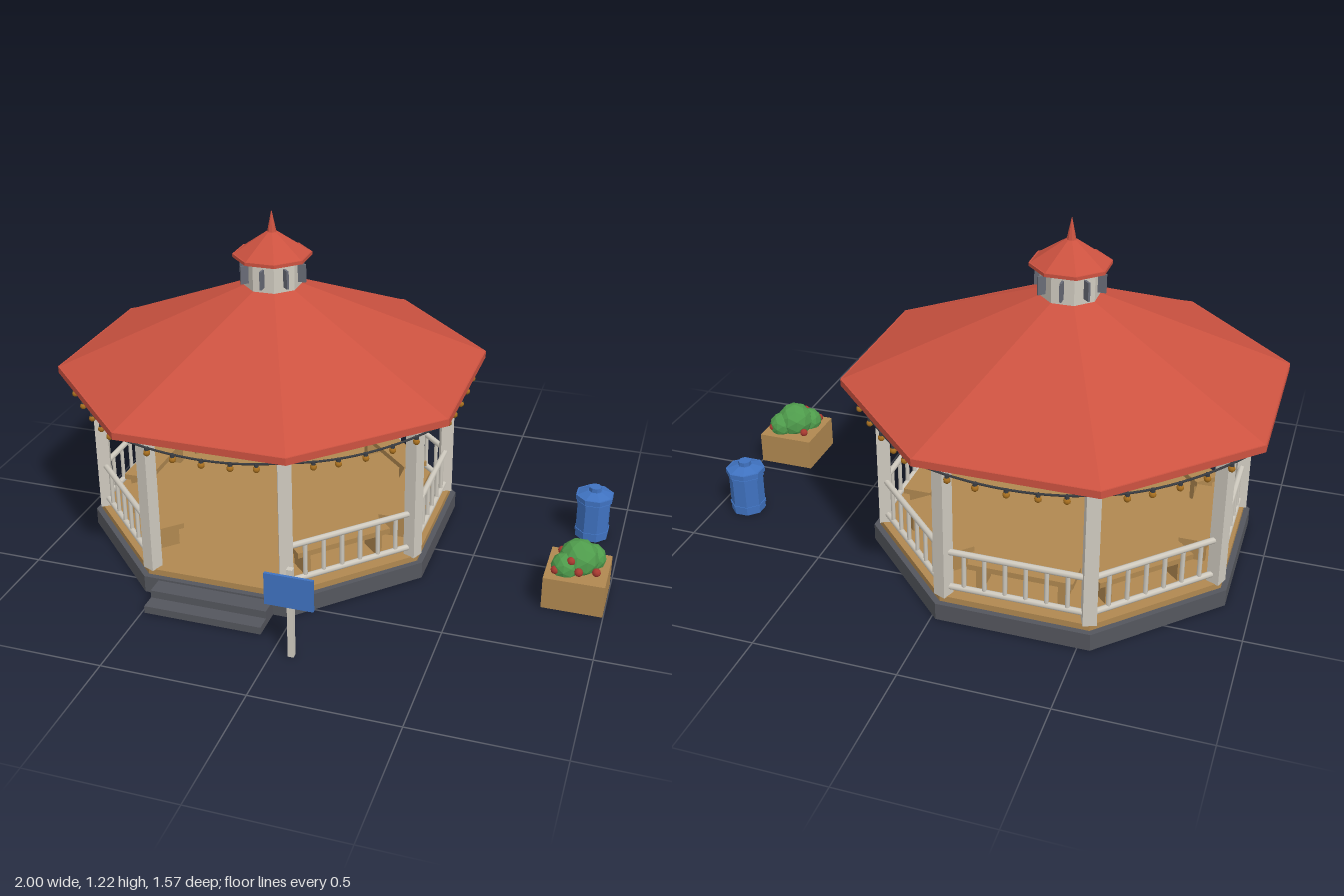
import * as THREE from 'three';

const mat = (name, color) => {
  const m = new THREE.MeshStandardMaterial({ color });
  m.name = name;
  return m;
};

export function createModel() {
  const red = mat('roof red', 0xcc5240);
  const wood = mat('wood', 0xb08850);
  const white = mat('painted white', 0xcfcabf);
  const stone = mat('dark stone', 0x54565d);
  const slate = mat('slate', 0x686b76);
  const blue = mat('blue', 0x3f72c0);
  const green = mat('leaf green', 0x4f9c4c);
  const petal = mat('petal red', 0xa83a30);
  const amber = mat('amber', 0xa9701f);
  const wire = mat('wire', 0x3a3d42);

  const model = new THREE.Group();
  model.name = 'bandstand scene';

  const add = (parent, name, geo, material, x = 0, y = 0, z = 0, ry = 0) => {
    const mesh = new THREE.Mesh(geo, material);
    mesh.name = name;
    mesh.position.set(x, y, z);
    mesh.rotation.y = ry;
    parent.add(mesh);
    return mesh;
  };
  const group = (parent, name, x = 0, z = 0, ry = 0) => {
    const g = new THREE.Group();
    g.name = name;
    g.position.set(x, 0, z);
    g.rotation.y = ry;
    parent.add(g);
    return g;
  };
  const faceted = (geo) => {
    const g = geo.index ? geo.toNonIndexed() : geo;
    g.computeVertexNormals();
    return g;
  };
  const box = (w, h, d) => new THREE.BoxGeometry(w, h, d);
  // Octagonal prism or frustum with flats facing x and z; sizes are apothems
  const C = Math.cos(Math.PI / 8);
  const octagon = (parent, name, bottom, top, y0, y1, material) => {
    const geo = new THREE.CylinderGeometry(top / C, bottom / C, y1 - y0, 8).rotateY(Math.PI / 8);
    return add(parent, name, faceted(geo), material, 0, (y0 + y1) / 2, 0);
  };

  const pavilion = group(model, 'pavilion', -0.28, -0.065);

  // Plinth, floor and steps
  octagon(pavilion, 'plinth', 0.635, 0.635, 0, 0.062, stone);
  octagon(pavilion, 'floor', 0.615, 0.615, 0.062, 0.084, wood);
  add(pavilion, 'lowerStep', box(0.42, 0.027, 0.155), stone, 0, 0.0135, 0.6775);
  add(pavilion, 'upperStep', box(0.42, 0.055, 0.1), stone, 0, 0.0275, 0.65);

  // Roof, cupola and finial
  octagon(pavilion, 'eaves', 0.72, 0.72, 0.63, 0.655, red);
  octagon(pavilion, 'roof', 0.715, 0.095, 0.655, 0.945, red);
  octagon(pavilion, 'cupola', 0.095, 0.095, 0.935, 1.055, white);
  octagon(pavilion, 'cupolaEaves', 0.13, 0.13, 1.05, 1.062, red);
  octagon(pavilion, 'cupolaRoof', 0.125, 0.018, 1.062, 1.14, red);
  octagon(pavilion, 'finial', 0.016, 0.001, 1.135, 1.215, red);

  // Shared pieces of one side
  const side = 0.595;
  const half = side * Math.tan(Math.PI / 8);
  const railGeo = new THREE.CylinderGeometry(0.011, 0.011, 2 * half, 8).rotateZ(Math.PI / 2);
  const balusterGeo = new THREE.CylinderGeometry(0.008, 0.008, 0.14, 6);
  const lightR = 0.695;
  const lightHalf = lightR * Math.tan(Math.PI / 8);
  const sag = (t) => 0.59 + 0.035 * (t / lightHalf) ** 2;
  const swag = new THREE.CatmullRomCurve3(
    [-1, -0.67, -0.33, 0, 0.33, 0.67, 1].map((f) => new THREE.Vector3(f * lightHalf, sag(f * lightHalf), lightR)));
  const swagGeo = new THREE.TubeGeometry(swag, 14, 0.004, 5);
  const bulbGeo = new THREE.SphereGeometry(0.012, 8, 6);
  const capGeo = new THREE.CylinderGeometry(0.007, 0.008, 0.014, 6);

  for (let i = 0; i < 8; i++) {
    const s = group(pavilion, 'side', 0, 0, (i * Math.PI) / 4);

    // Corner post and beam
    add(s, 'post', box(0.046, 0.55, 0.046), white, half, 0.357, side, Math.PI / 8);
    add(s, 'beam', box(2 * half, 0.048, 0.035), white, 0, 0.609, side);

    // Cupola vane
    add(s, 'cupolaVane', box(0.008, 0.066, 0.05), slate, 0, 0.997, 0.099);

    // String lights
    add(s, 'lightWire', swagGeo, wire);
    for (const t of [-0.19, -0.1, 0, 0.1, 0.19]) {
      add(s, 'bulbCap', capGeo, wire, t, sag(t) - 0.005, lightR);
      add(s, 'bulb', bulbGeo, amber, t, sag(t) - 0.018, lightR);
    }

    // The front stays open for the steps
    if (i === 0) continue;
    add(s, 'topRail', railGeo, white, 0, 0.25, side);
    add(s, 'bottomRail', railGeo, white, 0, 0.115, side);
    for (let k = 0; k < 6; k++) {
      add(s, 'baluster', balusterGeo, white, (k - 2.5) * 0.07, 0.182, side);
    }
    add(s, 'benchSeat', box(0.36, 0.02, 0.1), wood, 0, 0.17, 0.5);
    for (const x of [-0.14, 0.14]) {
      add(s, 'benchLeg', box(0.025, 0.078, 0.08), wood, x, 0.122, 0.5);
    }
  }

  // Notice board
  const sign = group(model, 'noticeBoard', 0.066, 0.766);
  add(sign, 'signPost', box(0.02, 0.33, 0.02), white, 0, 0.165, 0);
  add(sign, 'signPanel', box(0.165, 0.115, 0.01), blue, 0, 0.253, 0.015);

  // Planter with bush and flowers
  const planter = group(model, 'planter', 0.893, 0.15);
  add(planter, 'planterBox', box(0.21, 0.118, 0.21), wood, 0, 0.059, 0);
  for (const [x, y, z, r] of [[0, 0.15, -0.005, 0.07], [-0.04, 0.135, 0.035, 0.05], [0.04, 0.14, -0.04, 0.05]]) {
    add(planter, 'bush', faceted(new THREE.IcosahedronGeometry(r, 1)), green, x, y, z);
  }
  const flowerGeo = new THREE.IcosahedronGeometry(0.015, 1);
  for (const [x, y, z] of [[-0.065, 0.135, -0.065], [0.067, 0.14, -0.068], [-0.07, 0.135, 0.068],
    [0.01, 0.14, 0.07], [0.067, 0.135, 0.045], [-0.02, 0.17, 0.055]]) {
    add(planter, 'flower', flowerGeo, petal, x, y, z);
  }

  // Litter bin
  const bin = group(model, 'litterBin', 0.89, -0.28);
  octagon(bin, 'binBody', 0.058, 0.058, 0, 0.155, blue);
  for (const y of [0.025, 0.14]) octagon(bin, 'binBand', 0.061, 0.061, y, y + 0.009, blue);
  octagon(bin, 'binRim', 0.066, 0.066, 0.155, 0.173, blue);
  octagon(bin, 'binLid', 0.06, 0.026, 0.173, 0.187, blue);
  octagon(bin, 'binKnob', 0.022, 0.022, 0.185, 0.203, blue);

  return model;
}
